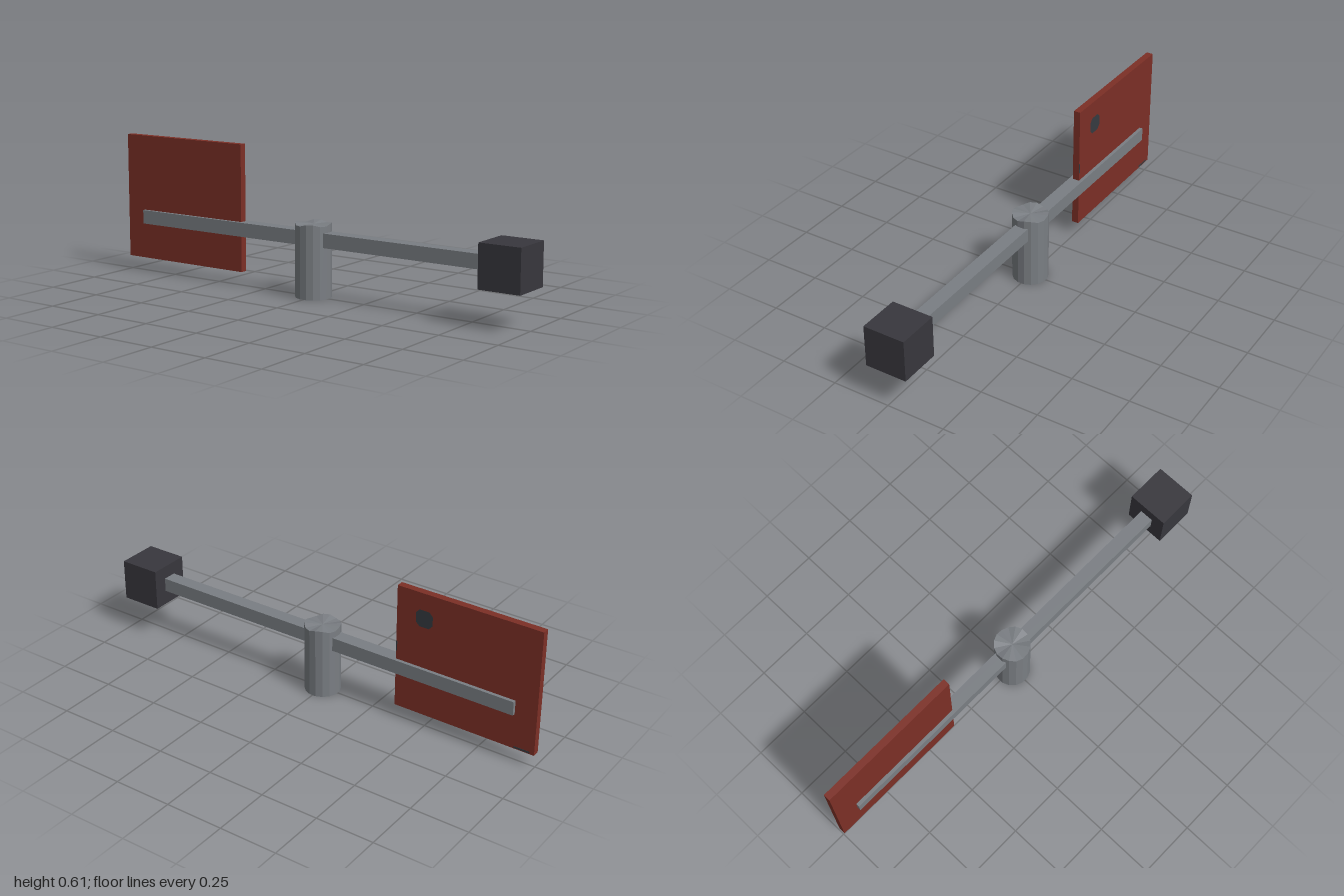
import * as THREE from 'three';

const mat = (name, color, extra = {}) => {
  const m = new THREE.MeshStandardMaterial({ color, flatShading: true, ...extra });
  m.name = name;
  return m;
};

export function createModel() {
  const group = new THREE.Group();
  const steel = mat('steel grey', 0x7a7e83, { side: THREE.DoubleSide });
  const iron = mat('dark iron', 0x38373d);
  const rust = mat('rust red', 0x7c2f26);
  const slate = mat('slate mark', 0x363b40);

  const add = (name, geometry, material, x, y, z) => {
    const mesh = new THREE.Mesh(geometry, material);
    mesh.name = name;
    mesh.position.set(x, y, z);
    group.add(mesh);
    return mesh;
  };
  const box = (name, material, size, pos) =>
    add(name, new THREE.BoxGeometry(...size), material, ...pos);

  // Sixteen-sided post, open underneath
  const sides = 16, radius = 0.076, height = 0.305;
  const rim = (i) => {
    const a = ((i + 0.5) / sides) * Math.PI * 2;
    const y = height + (Math.floor(i / 2) % 2 ? -0.002 : 0.006);
    return [Math.sin(a) * radius, y, Math.cos(a) * radius];
  };
  const wall = [], cap = [];
  for (let i = 0; i < sides; i++) {
    const a = rim(i), b = rim((i + 1) % sides);
    const a0 = [a[0], 0, a[2]], b0 = [b[0], 0, b[2]];
    wall.push(...a0, ...b0, ...b, ...a0, ...b, ...a);
    // Slightly rippled top
    cap.push(...a, ...b, 0, height, 0);
  }
  const facets = (positions) => {
    const g = new THREE.BufferGeometry();
    g.setAttribute('position', new THREE.Float32BufferAttribute(positions, 3));
    g.computeVertexNormals();
    return g;
  };
  add('post', facets(wall), steel, 0, 0, 0);
  add('postTop', facets(cap), steel, 0, 0, 0);

  // Long balance arm
  box('arm', steel, [0.06, 0.06, 1.735], [0, 0.246, -0.0375]);

  // Counterweight at the front
  box('counterweight', iron, [0.18, 0.18, 0.18], [0, 0.243, 0.91]);

  // Tail plate at the back
  box('tailPlate', rust, [0.03, 0.546, 0.635], [0, 0.333, -0.6825]);

  // Painted spot on the left face of the tail
  const spot = new THREE.Shape([
    [-0.038, -0.02], [-0.022, -0.037], [0.022, -0.037], [0.038, -0.02],
    [0.038, 0.02], [0.022, 0.037], [-0.022, 0.037], [-0.038, 0.02],
  ].map(([x, y]) => new THREE.Vector2(x, y)));
  add('tailSpot', new THREE.ShapeGeometry(spot), slate, 0.016, 0.495, -0.49)
    .rotation.y = Math.PI / 2;

  // Small marks at the plate's edges
  box('frontEdgeMark', slate, [0.002, 0.045, 0.005], [0.0148, 0.335, -0.3675]);
  box('lowerEdgeMark', slate, [0.002, 0.008, 0.07], [0.0148, 0.067, -0.945]);

  return group;
}
